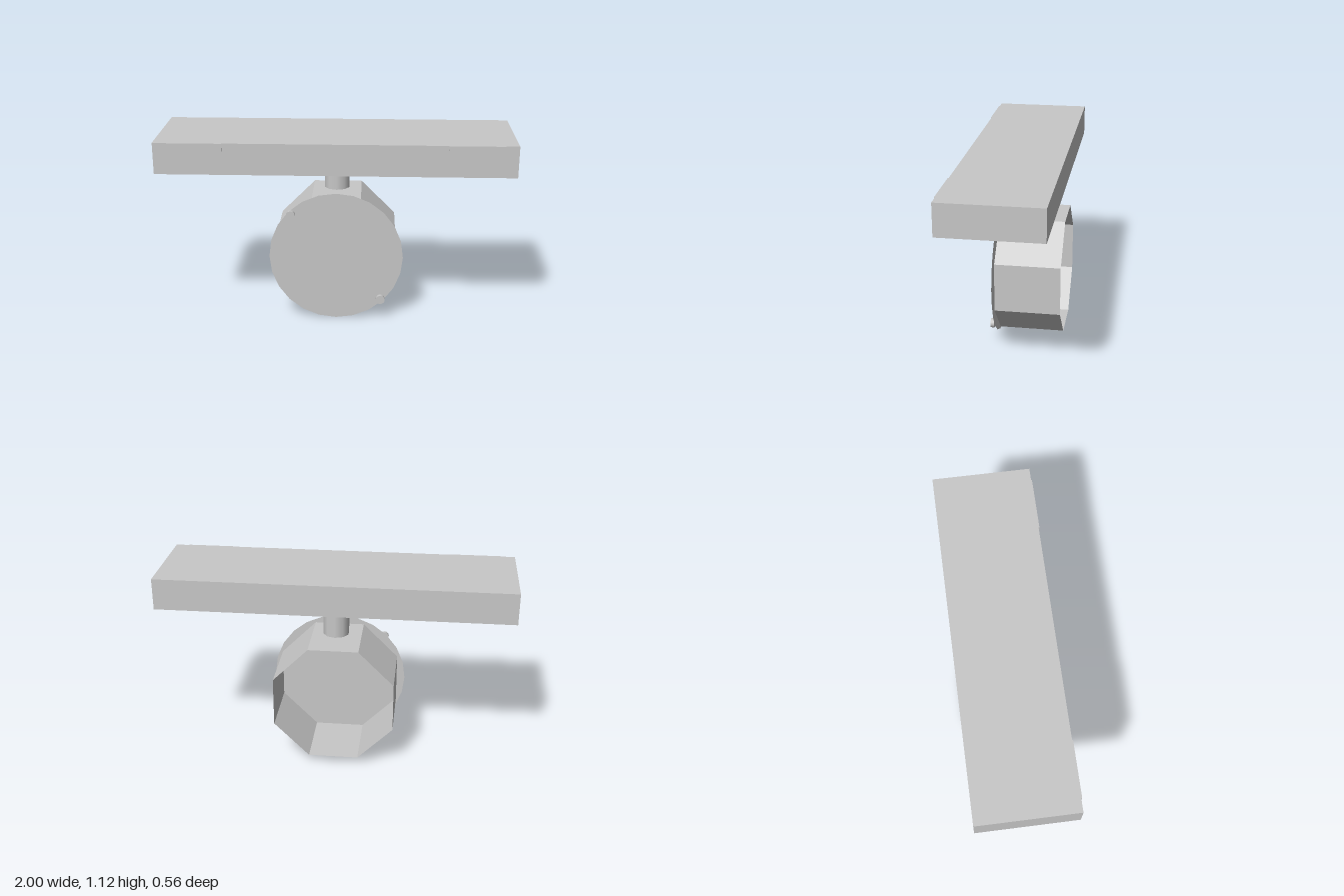
import * as THREE from 'three';

export function createModel() {
  const model = new THREE.Group();
  const grey = new THREE.MeshStandardMaterial({ color: 0xc8c8c8 });
  grey.name = 'plain grey';
  const faceted = new THREE.MeshStandardMaterial({ color: 0xc8c8c8, flatShading: true, side: THREE.DoubleSide });
  faceted.name = 'faceted grey';

  const add = (name, geometry, material, x, y, z) => {
    const mesh = new THREE.Mesh(geometry, material);
    mesh.name = name;
    mesh.position.set(x, y, z);
    model.add(mesh);
    return mesh;
  };

  const hubY = 0.395, hubZ = -0.0925;

  // Long top plate with two thin tabs on its front edge
  add('topPlate', new THREE.BoxGeometry(2, 0.179, 0.556), grey, 0, 1.0365, -0.002);
  for (const s of [-1, 1]) {
    add('frontTab', new THREE.BoxGeometry(0.306, 0.05, 0.006), grey, s * 0.772, 1.101, 0.278);
  }

  // Short round stem under the plate
  add('stem', new THREE.CylinderGeometry(0.075, 0.075, 0.179, 10), grey, 0, 0.8575, hubZ);

  // Eight-sided drum, open at the back, with flats at top and sides
  const drum = new THREE.CylinderGeometry(0.372, 0.372, 0.375, 8, 1, true, Math.PI / 8);
  drum.rotateX(Math.PI / 2);
  add('drum', drum, faceted, 0, hubY, hubZ);

  // Flat round face in front of the drum
  add('faceDisc', new THREE.CircleGeometry(0.391, 24), faceted, 0, hubY, 0.104);

  // Two small knobs on opposite sides of the face
  const knob = new THREE.CylinderGeometry(0.027, 0.027, 0.021, 12);
  knob.rotateX(Math.PI / 2);
  for (const s of [-1, 1]) {
    add('knob', knob, grey, s * 0.262, hubY - s * 0.262, 0.1195);
  }

  return model;
}
